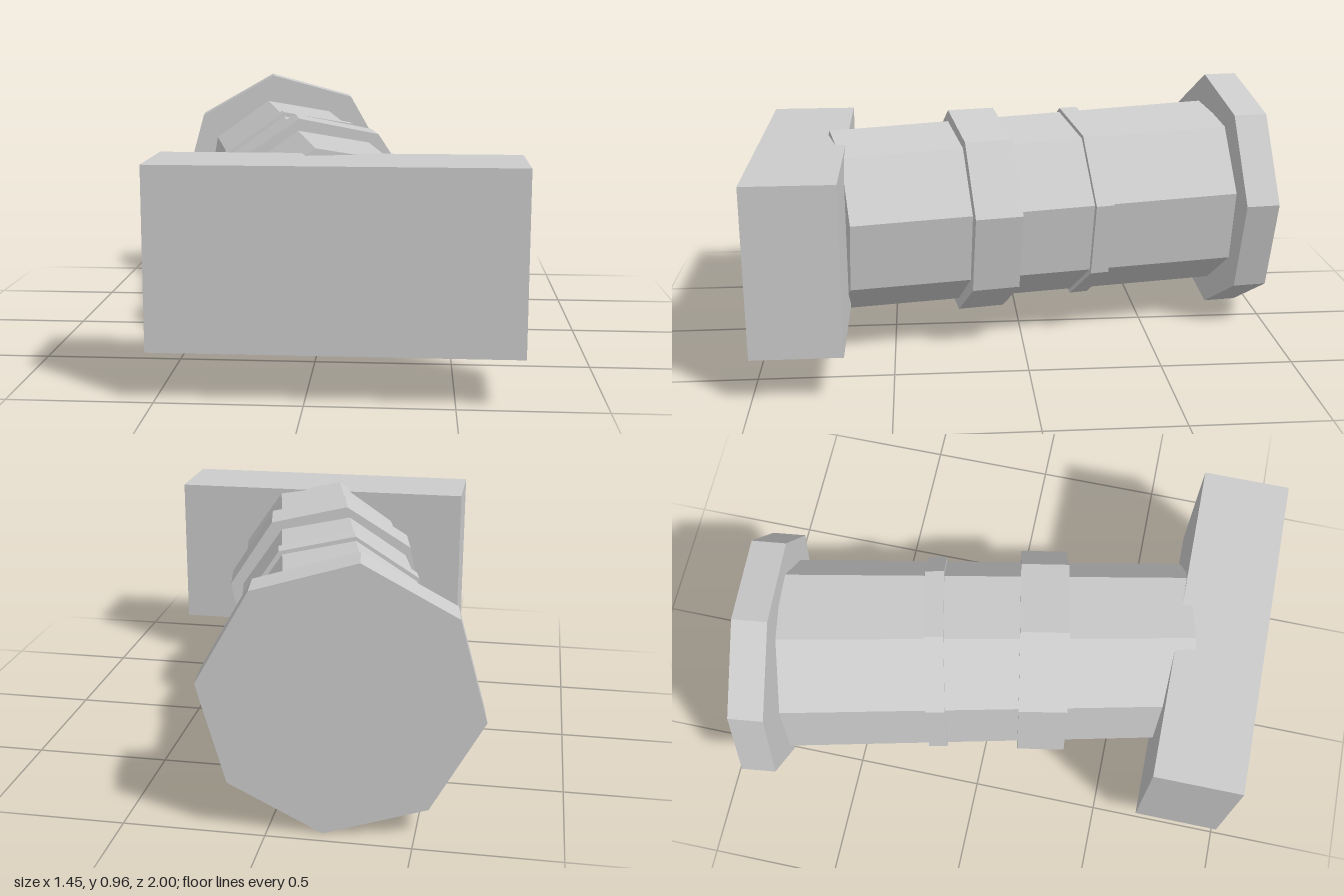
import * as THREE from 'three';

export function createModel() {
  const model = new THREE.Group();
  const grey = new THREE.MeshStandardMaterial({ color: 0xcccccc, flatShading: true });
  grey.name = 'plain grey';
  const centreY = 0.485;

  // Eight-sided prism lying along z, rolled about its axis and then yawed.
  function octagon(name, rFront, rBack, length, x, z, yawDeg, rollDeg) {
    const geometry = new THREE.CylinderGeometry(rFront, rBack, length, 8);
    geometry.rotateX(Math.PI / 2);
    geometry.rotateZ(THREE.MathUtils.degToRad(rollDeg));
    const mesh = new THREE.Mesh(geometry, grey);
    mesh.name = name;
    mesh.rotation.y = THREE.MathUtils.degToRad(yawDeg);
    mesh.position.set(x, centreY, z);
    model.add(mesh);
  }

  // Rectangular block at the front
  const block = new THREE.Mesh(new THREE.BoxGeometry(1.25, 0.625, 0.33), grey);
  block.name = 'frontBlock';
  block.position.set(0.1, 0.4875, 0.833);
  model.add(block);

  // Slightly tapered shaft, two raised bands and the wide end plate
  octagon('shaft', 0.348, 0.374, 1.56, -0.07, -0.043, 12.2, 12.4);
  octagon('wideBand', 0.4, 0.4, 0.183, -0.0175, 0.17, 10.6, 10.8);
  octagon('narrowBand', 0.381, 0.381, 0.073, -0.109, -0.235, 12.4, 12);
  octagon('endPlate', 0.485, 0.485, 0.132, -0.24, -0.877, 6.9, 7);

  return model;
}
